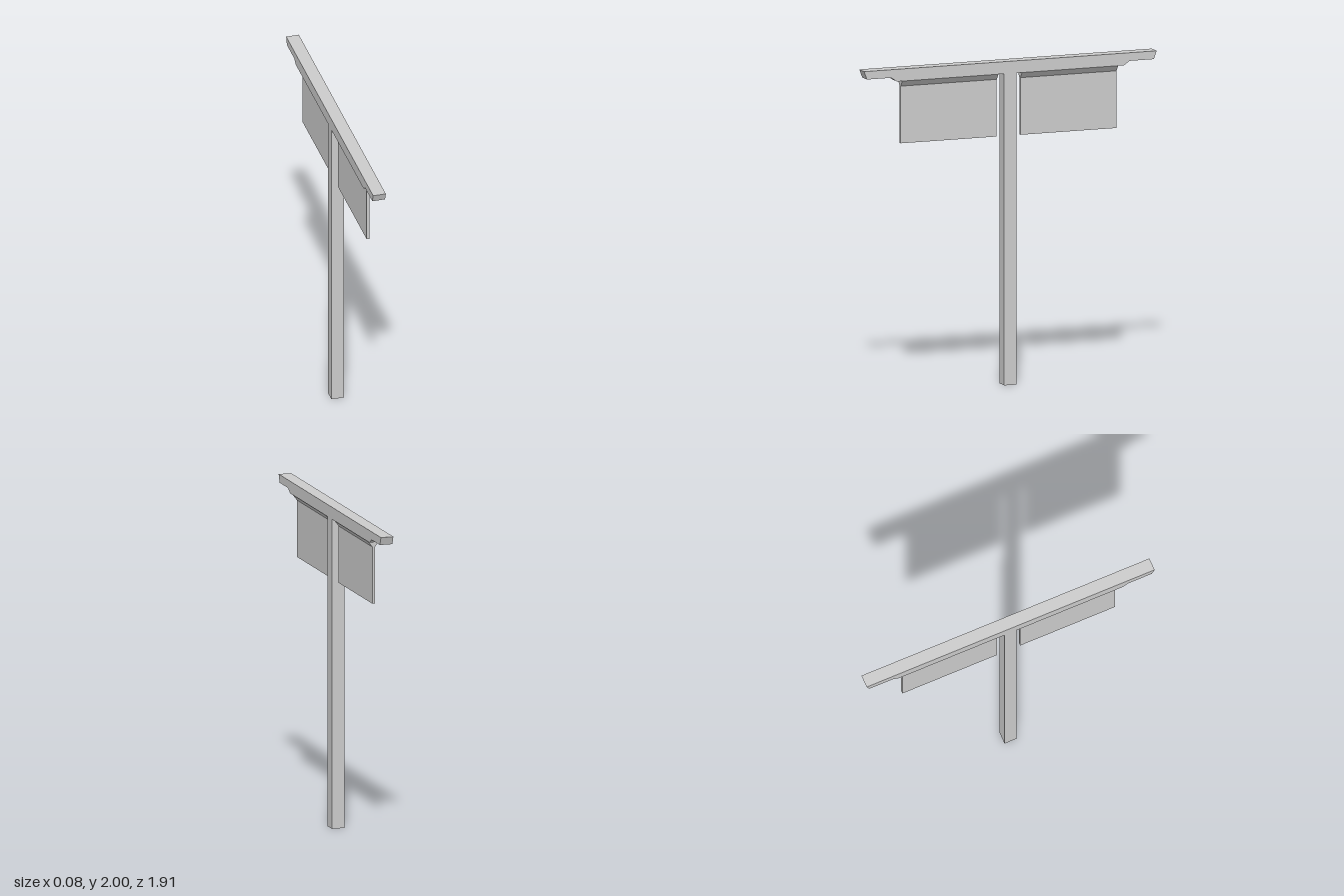
import * as THREE from 'three';

const HALF = 0.04; // half width of the timber

export function createModel() {
  const group = new THREE.Group();
  const material = new THREE.MeshStandardMaterial({ color: 0xcccccc, flatShading: true });

  // Extrudes an outline that is mirrored about its vertical axis.
  function extrudeMirrored(half, depth) {
    const mirrored = half.map(([x, y]) => [-x, y]).reverse();
    const shape = new THREE.Shape([...half, ...mirrored].map(([x, y]) => new THREE.Vector2(x, y)));
    const geometry = new THREE.ExtrudeGeometry(shape, { depth, bevelEnabled: false });
    return geometry.translate(0, 0, -depth / 2);
  }

  // Post and crossbeam: one T-shaped timber with stepped, slanted beam ends
  const frame = extrudeMirrored([
    [HALF, 0], [HALF, 1.925], [0.74, 1.925], [0.777, 1.95], [0.935, 1.95], [0.953, 2],
  ], 2 * HALF);
  frame.rotateY(Math.PI / 2);
  const post = new THREE.Mesh(frame, material);
  post.name = 'postAndCrossbeam';
  group.add(post);

  // Hanging panels: thin boards flaring out to the beam's underside
  const panel = extrudeMirrored([
    [0.009, 1.535], [0.009, 1.888], [0.038, 1.925],
  ], 0.626);
  for (const [name, side] of [['frontPanel', 1], ['backPanel', -1]]) {
    const mesh = new THREE.Mesh(panel, material);
    mesh.name = name;
    mesh.position.z = side * 0.39;
    group.add(mesh);
  }

  return group;
}
